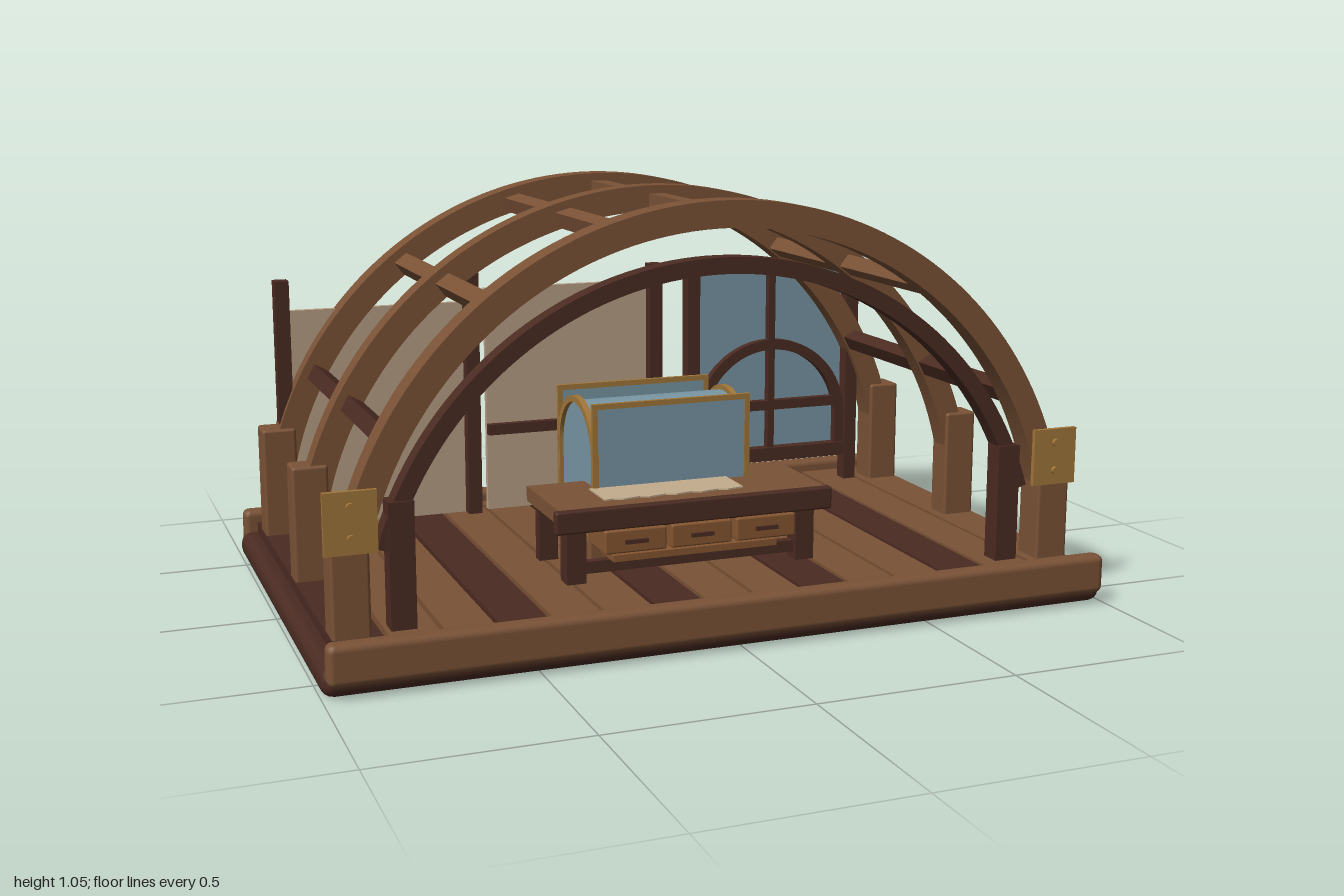
import * as THREE from 'three';
import { toCreasedNormals } from 'three/addons/utils/BufferGeometryUtils.js';
import { RoundedBoxGeometry } from 'three/addons/geometries/RoundedBoxGeometry.js';

const material = (name, color, side = THREE.FrontSide) => {
  const m = new THREE.MeshStandardMaterial({ color, side });
  m.name = name;
  return m;
};

export function createModel() {
  const model = new THREE.Group();
  model.name = 'archedPavilion';
  const wood = material('wood', 0x7a5236);
  const dark = material('dark wood', 0x4a2b22);
  const drawerWood = material('drawer wood', 0x855631);
  const brass = material('brass', 0xa0763a);
  const cream = material('cream panel', 0xb89f84);
  const paper = material('paper', 0xc4ad8e);
  const glass = material('blue glass', 0x7896a3, THREE.DoubleSide);

  const add = (name, geometry, mat, x = 0, y = 0, z = 0) => {
    const mesh = new THREE.Mesh(geometry, mat);
    mesh.name = name;
    mesh.position.set(x, y, z);
    model.add(mesh);
    return mesh;
  };
  // Box given by its limits on each axis, with optional rounded edges
  const box = (name, mat, [x0, x1], [y0, y1], [z0, z1], r = 0) => {
    const s = [x1 - x0, y1 - y0, z1 - z0];
    const g = r ? new RoundedBoxGeometry(...s, 2, r) : new THREE.BoxGeometry(...s);
    return add(name, g, mat, (x0 + x1) / 2, (y0 + y1) / 2, (z0 + z1) / 2);
  };
  const around = (c, w) => [c - w / 2, c + w / 2];
  // Curved beam of rectangular section in the xy plane
  const archGeometry = (outer, inner, start, depth) => {
    const s = new THREE.Shape();
    s.absarc(0, 0, outer, start, Math.PI - start, false);
    s.absarc(0, 0, inner, Math.PI - start, start, true);
    s.closePath();
    const g = new THREE.ExtrudeGeometry(s, { depth, bevelEnabled: false, curveSegments: 40 });
    return toCreasedNormals(g.translate(0, 0, -depth / 2), 0.5);
  };

  // Platform
  box('baseSlab', dark, [-1, 1], [0, 0.07], [-0.61, 0.61], 0.03);
  for (const s of [-1, 1]) box('edgeRail', wood, [-0.99, 0.99], [0.03, 0.13], around(s * 0.605, 0.05), 0.018);
  for (let i = 0; i < 15; i++) {
    box('floorPlank', i % 3 ? wood : dark, around((i - 7) * 0.1283, 0.117), [0.065, 0.1], [-0.565, 0.565]);
  }

  // Main arches on posts
  const CY = 0.097;
  for (const [z, depth, post] of [[0.463, 0.07, 0.088], [0, 0.06, 0.077], [-0.458, 0.07, 0.088]]) {
    add('mainArch', archGeometry(0.953, 0.888, 0.22, depth), wood, 0, CY, z);
    for (const s of [-1, 1]) box('archPost', wood, around(s * 0.91, 0.09), [0.09, 0.39], around(z, post), 0.008);
  }

  // Roof purlins following the arch
  for (const deg of [-61.5, -37.5, -15.7, 0, 15.7, 37.5, 61.5]) {
    const a = THREE.MathUtils.degToRad(deg);
    const mesh = add('purlin', new THREE.BoxGeometry(0.042, 0.04, 0.93),
      Math.abs(deg) > 50 ? dark : wood, Math.sin(a) * 0.912, CY + Math.cos(a) * 0.912, 0);
    mesh.rotation.z = -a;
  }

  // Inner front arch, its posts and the brass corner plates
  add('innerArch', archGeometry(0.883, 0.843, 0.3, 0.05), dark, 0, 0.032, 0.455);
  for (const s of [-1, 1]) {
    box('innerPost', dark, around(s * 0.787, 0.06), [0.1, 0.4], around(0.46, 0.055));
    box('cornerPlate', brass, around(s * 0.907, 0.122), [0.295, 0.44], [0.497, 0.51]);
    for (const y of [0.332, 0.405]) {
      const rivet = add('rivet', new THREE.CylinderGeometry(0.01, 0.01, 0.012, 12), brass, s * 0.907, y, 0.514);
      rivet.rotation.x = Math.PI / 2;
    }
  }

  // Back wall: posts, panels and rails
  for (const x of [-0.885, -0.365, 0.18, 0.297, 0.81]) {
    box('wallPost', dark, around(x, 0.038), [0.1, 0.785], around(-0.462, 0.043));
  }
  box('wallPanel', cream, [-0.865, -0.385], [0.1, 0.7], [-0.492, -0.474]);
  box('wallPanel', cream, [-0.32, 0.165], [0.1, 0.735], [-0.492, -0.474]);
  box('bluePanel', glass, [0.31, 0.795], [0.175, 0.775], [-0.492, -0.48]);
  box('wallRail', dark, [-0.32, 0.3], [0.32, 0.35], [-0.472, -0.45]);

  // Arched window lattice on the blue panel
  add('windowArch', archGeometry(0.242, 0.212, 0, 0.025), dark, 0.55, 0.3, -0.462);
  for (const s of [-1, 1]) box('windowJamb', dark, around(0.55 + s * 0.227, 0.03), [0.2, 0.3], around(-0.462, 0.025));
  box('windowMullion', dark, around(0.55, 0.02), [0.2, 0.74], around(-0.462, 0.025));
  box('windowTransom', dark, [0.32, 0.78], [0.33, 0.358], around(-0.462, 0.025));
  box('windowSill', dark, [0.29, 0.83], [0.175, 0.215], around(-0.46, 0.035));

  // Low table
  box('tableTop', wood, [-0.36, 0.355], [0.255, 0.293], [0.04, 0.305]);
  box('tableLip', dark, [-0.373, 0.368], [0.235, 0.293], [0.3, 0.325], 0.006);
  for (const x of [-0.312, 0.305]) {
    for (const z of [0.272, 0.055]) box('tableLeg', dark, around(x, 0.05), [0.1, 0.255], around(z, z > 0.1 ? 0.052 : 0.032));
  }
  box('tableStretcher', dark, [-0.3, 0.3], [0.12, 0.15], around(0.272, 0.025));

  // Drawers with pulls
  for (const x of [-0.17, 0.005, 0.18]) {
    box('drawer', drawerWood, around(x, 0.162), [0.178, 0.237], [0.2, 0.335], 0.005);
    box('drawerPull', dark, around(x, 0.06), [0.202, 0.212], [0.33, 0.343]);
  }
  box('drawerRail', drawerWood, [-0.22, 0.22], [0.15, 0.167], [0.21, 0.31]);

  // Sheet with a ragged front edge
  const sheet = new THREE.Shape();
  sheet.moveTo(-0.225, -0.14);
  for (let i = 0; i <= 16; i++) sheet.lineTo(-0.225 + i * 0.0234, -0.262 + 0.006 * Math.sin(i * 2.1));
  sheet.lineTo(0.15, -0.14);
  const sheetGeometry = new THREE.ExtrudeGeometry(sheet, { depth: 0.004, bevelEnabled: false });
  add('paperSheet', sheetGeometry.rotateX(-Math.PI / 2), paper, 0, 0.294, 0);

  // Vaulted glass case on its plinth
  box('casePlinth', wood, [-0.25, 0.25], [0.075, 0.11], [-0.17, 0.17], 0.008);
  box('caseBase', wood, [-0.23, 0.23], [0.105, 0.165], [-0.153, 0.153], 0.008);
  box('caseBaseTrim', brass, [-0.22, 0.22], [0.163, 0.18], [-0.158, 0.158]);
  // Arch-ended outline in (z, y), optionally hollow
  const vault = (r, bottom, hole) => {
    const outline = (P, q, b) => {
      const p = new P();
      p.moveTo(q, b);
      p.lineTo(q, 0.365);
      p.absarc(0, 0.365, q, 0, Math.PI, false);
      p.lineTo(-q, b);
      p.closePath();
      return p;
    };
    const s = outline(THREE.Shape, r, bottom);
    if (hole) s.holes.push(outline(THREE.Path, hole, bottom + 0.012));
    return s;
  };
  const extrudeX = (shape, length) => {
    const g = new THREE.ExtrudeGeometry(shape, { depth: length, bevelEnabled: false, curveSegments: 20 });
    return toCreasedNormals(g.translate(0, 0, -length / 2).rotateY(Math.PI / 2), 0.5);
  };
  add('caseGlass', extrudeX(vault(0.132, 0.175), 0.41), glass);
  for (const s of [-1, 1]) {
    add('caseEndFrame', extrudeX(vault(0.145, 0.17, 0.128), 0.016), brass, s * 0.208, 0, 0);
    // Upright front and back panes in brass frames
    box('casePane', glass, [-0.205, 0.205], [0.18, 0.505], around(s * 0.14, 0.006));
    box('paneTopBar', brass, [-0.218, 0.215], [0.5, 0.514], around(s * 0.14, 0.012));
    for (const x of [-0.21, 0.208]) box('paneUpright', brass, around(x, 0.014), [0.175, 0.505], around(s * 0.14, 0.012));
  }
  return model;
}
